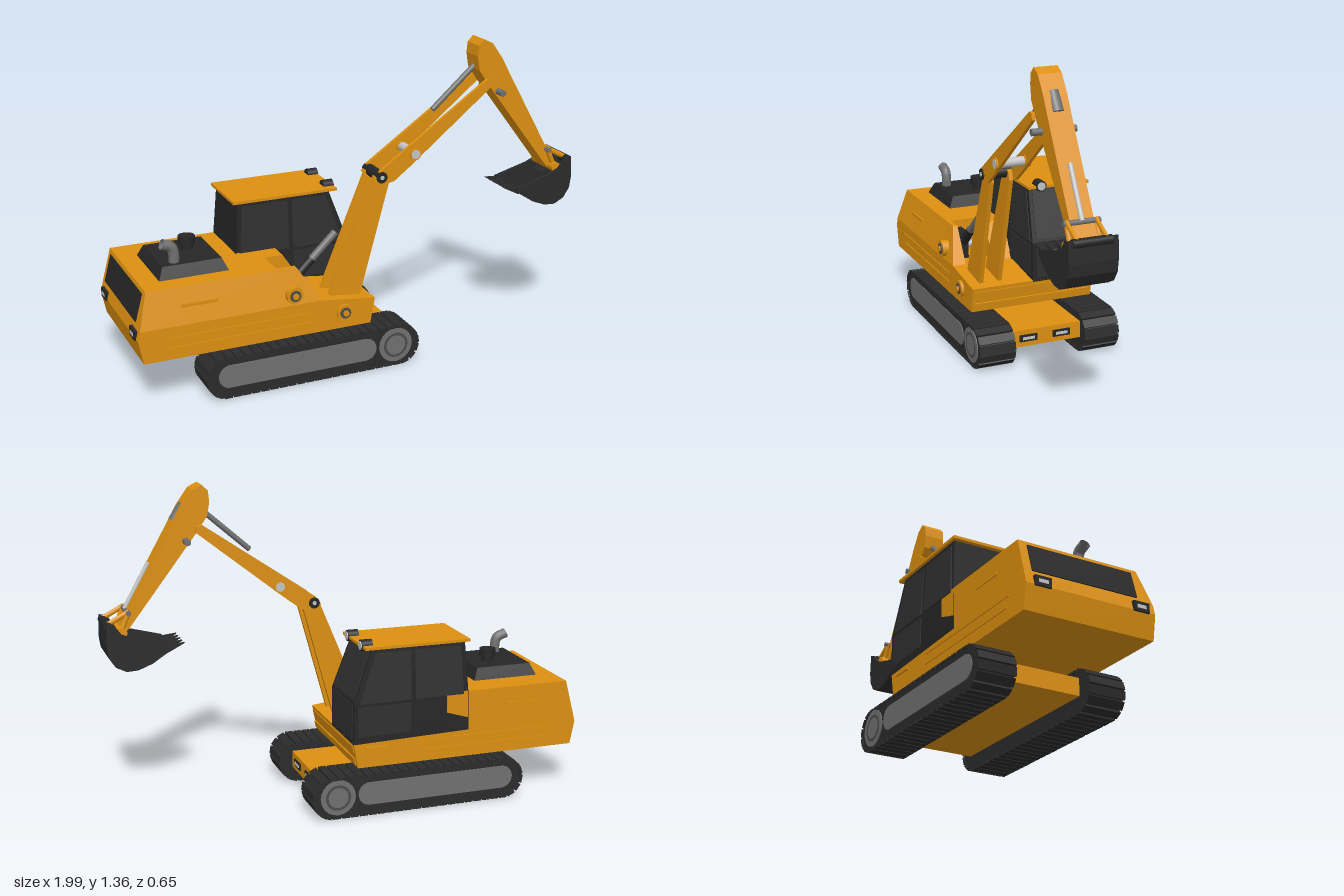
import * as THREE from 'three';

export function createModel() {
  const root = new THREE.Group();
  const mat = (name, color) => {
    const m = new THREE.MeshStandardMaterial({ color });
    m.name = name;
    return m;
  };
  const orange = mat('orange paint', 0xdd9010);
  const black = mat('black rubber', 0x2b2b2b);
  const dark = mat('dark frame', 0x262626);
  const glass = mat('dark glass', 0x303030);
  const grey = mat('grey steel', 0x707070);
  const midGrey = mat('hub grey', 0x4c4c4c);
  const light = mat('bright steel', 0xc4c4c4);

  const add = (name, geo, m, parent = root) => {
    const mesh = new THREE.Mesh(geo, m);
    mesh.name = name;
    parent.add(mesh);
    return mesh;
  };
  const toShape = pts => new THREE.Shape(pts.map(p => new THREE.Vector2(p[0], p[1])));
  // Side profile extruded between two z planes
  const slab = (name, m, shape, z0, z1, parent) => {
    const s = Array.isArray(shape) ? toShape(shape) : shape;
    const g = new THREE.ExtrudeGeometry(s, { depth: z1 - z0, bevelEnabled: false, curveSegments: 14 });
    return add(name, g.translate(0, 0, z0), m, parent);
  };
  const box = (name, m, x, y, z, w, h, d, rot = 0, parent = root) => {
    const b = add(name, new THREE.BoxGeometry(w, h, d), m, parent);
    b.position.set(x, y, z);
    b.rotation.z = rot;
    return b;
  };
  // Round bar between two points
  const rod = (name, m, a, b, r, parent = root) => {
    const p = new THREE.Vector3(...a), q = new THREE.Vector3(...b);
    const c = add(name, new THREE.CylinderGeometry(r, r, p.distanceTo(q), 20), m, parent);
    c.position.copy(p).add(q).multiplyScalar(0.5);
    c.quaternion.setFromUnitVectors(new THREE.Vector3(0, 1, 0), q.sub(p).normalize());
    return c;
  };
  const pin = (name, m, x, y, z0, z1, r, parent) => rod(name, m, [x, y, z0], [x, y, z1], r, parent);
  const reshape = (mesh, rule) => {
    const p = mesh.geometry.attributes.position, v = new THREE.Vector3();
    for (let i = 0; i < p.count; i++) {
      rule(v.fromBufferAttribute(p, i));
      p.setXYZ(i, v.x, v.y, v.z);
    }
    mesh.geometry.computeVertexNormals();
    return mesh;
  };
  const stadium = (x0, x1, y, r) => new THREE.Shape()
    .absarc(x1, y, r, -Math.PI / 2, Math.PI / 2)
    .absarc(x0, y, r, Math.PI / 2, Math.PI * 1.5);

  // Crawler tracks
  const X0 = -0.635, X1 = 0.14, R = 0.085, L = X1 - X0, arc = Math.PI * R, total = 2 * (L + arc);
  for (const s of [1, -1]) {
    const track = new THREE.Group();
    track.name = s > 0 ? 'leftTrack' : 'rightTrack';
    root.add(track);
    slab('trackBelt', black, stadium(X0, X1, 0.091, 0.082), s > 0 ? 0.165 : -0.32, s > 0 ? 0.32 : -0.165, track);
    for (let i = 0; i < 52; i++) {
      let d = (i / 52) * total, x, y, a;
      if (d < L) { x = X0 + d; y = -R; a = 0; }
      else if ((d -= L) < arc) { a = d / R; x = X1 + R * Math.sin(a); y = -R * Math.cos(a); }
      else if ((d -= arc) < L) { x = X1 - d; y = R; a = Math.PI; }
      else { a = Math.PI + (d - L) / R; x = X0 + R * Math.sin(a); y = -R * Math.cos(a); }
      box('trackPad', black, x, 0.091 + y, s * 0.2425, 0.034, 0.011, 0.163, a, track);
    }
    const face = (name, m, shape, z) => slab(name, m, shape, s > 0 ? 0.318 : -z, s > 0 ? z : -0.318, track);
    face('trackFrame', grey, stadium(-0.625, -0.02, 0.097, 0.05), 0.323);
    pin('driveWheelRim', grey, 0.12, 0.095, s * 0.31, s * 0.324, 0.077, track);
    pin('driveWheelWeb', midGrey, 0.12, 0.095, s * 0.31, s * 0.325, 0.056, track);
    pin('driveWheelHub', grey, 0.12, 0.095, s * 0.31, s * 0.326, 0.044, track);
  }

  // Undercarriage and turntable
  box('undercarriage', orange, -0.24, 0.107, 0, 0.82, 0.074, 0.34);
  rod('turntable', black, [-0.26, 0.13, 0], [-0.26, 0.21, 0], 0.125);
  for (const z of [0.08, -0.075]) {
    box('frontLampHousing', dark, 0.172, 0.108, z, 0.008, 0.03, 0.08);
    box('frontLamp', light, 0.175, 0.108, z, 0.008, 0.012, 0.055);
  }

  // Body: lower tub, engine block and the walls beside the boom recess
  const leanIn = v => { if (v.y > 0.48 && v.z > 0.25) v.z = 0.24; };
  slab('lowerBody', orange, [[-0.97, 0.2], [0.02, 0.2], [0.04, 0.31], [-0.2, 0.34], [-0.98, 0.34], [-0.99, 0.3]], -0.285, 0.28);
  reshape(slab('engineBody', orange, [[-0.98, 0.34], [-0.38, 0.34], [-0.38, 0.49], [-0.94, 0.49]], -0.285, 0.28), leanIn);
  const wall = [[-0.39, 0.338], [-0.2, 0.338], [-0.3, 0.49], [-0.39, 0.49]];
  slab('innerWall', orange, wall, 0, 0.09);
  reshape(slab('outerWall', orange, wall, 0.22, 0.28), leanIn);
  box('recessLining', dark, -0.325, 0.4, 0.2, 0.09, 0.12, 0.05);
  pin('liftPin', light, -0.33, 0.39, 0.085, 0.18, 0.016);
  for (const [x, y] of [[-0.325, 0.385], [-0.1, 0.27]]) {
    pin('sideBoss', orange, x, y, 0.25, 0.292, 0.036);
    pin('sideBossCap', midGrey, x, y, 0.25, 0.296, 0.024);
    pin('sideBossBolt', orange, x, y, 0.25, 0.302, 0.013);
  }
  for (const z of [0.281, -0.286]) {
    box('sideRib', orange, -0.565, 0.293, z, 0.62, 0.006, 0.006);
    box('sideRib', orange, -0.555, 0.25, z, 0.61, 0.006, 0.006);
    box('sideHandle', orange, -0.725, 0.415, z > 0 ? 0.262 : z, 0.15, 0.014, 0.006);
  }
  for (const y of [0.225, 0.28]) box('frontRib', orange, 0.024 + (y - 0.2) * 0.14, y, 0, 0.006, 0.03, 0.54, -0.18);
  box('stepRail', orange, -0.06, 0.285, -0.288, 0.1, 0.008, 0.008);

  // Rear grille and tail lamps
  box('rearGrille', dark, -0.961, 0.415, -0.02, 0.006, 0.12, 0.46, -0.26);
  for (const z of [0.215, -0.215]) {
    box('tailLampHousing', dark, -0.99, 0.315, z, 0.014, 0.04, 0.07);
    box('tailLamp', light, -0.996, 0.315, z, 0.006, 0.014, 0.04);
  }

  // Engine hood, exhaust and air intake
  reshape(box('engineHood', dark, -0.71, 0.513, 0, 0.3, 0.054, 0.32), v => {
    if (v.y > 0) { v.x *= 0.84; v.z *= 0.84; }
  });
  const pipe = new THREE.CatmullRomCurve3([[-0.775, 0.53], [-0.775, 0.575], [-0.785, 0.605], [-0.825, 0.622]]
    .map(p => new THREE.Vector3(p[0], p[1], 0.095)));
  const exhaustMetal = grey.clone();
  exhaustMetal.name = 'exhaust steel';
  exhaustMetal.side = THREE.DoubleSide;
  add('exhaust', new THREE.TubeGeometry(pipe, 16, 0.022, 14), exhaustMetal);
  rod('intakeStem', dark, [-0.68, 0.53, -0.03], [-0.68, 0.57, -0.03], 0.027);
  rod('intakeCap', dark, [-0.68, 0.563, -0.03], [-0.68, 0.595, -0.03], 0.036);

  // Cab, with panes set just proud of the frame
  const cabTaper = v => {
    if (v.y > 0.48) v.z = -0.143 + (v.z + 0.143) * (1 - 0.1 * (v.y - 0.48) / 0.23);
  };
  const cabPart = (name, m, pts, half) => reshape(slab(name, m, pts, -0.143 - half, -0.143 + half), cabTaper);
  cabPart('cab', dark, [[-0.48, 0.318], [0.04, 0.305], [0.038, 0.48], [-0.045, 0.71], [-0.46, 0.71], [-0.476, 0.48]], 0.144);
  cabPart('rearSideWindow', glass, [[-0.455, 0.48], [-0.235, 0.48], [-0.235, 0.69], [-0.44, 0.69]], 0.147);
  cabPart('doorWindow', glass, [[-0.215, 0.48], [0.015, 0.48], [-0.06, 0.69], [-0.215, 0.69]], 0.147);
  cabPart('doorPanel', glass, [[-0.215, 0.34], [0.02, 0.335], [0.02, 0.465], [-0.215, 0.465]], 0.147);
  cabPart('windshield', glass, [[-0.2, 0.495], [0.037, 0.495], [-0.036, 0.695], [-0.2, 0.695]], 0.127);
  cabPart('lowerWindshield', glass, [[-0.2, 0.325], [0.044, 0.325], [0.042, 0.475], [-0.2, 0.475]], 0.127);
  box('cabRoof', orange, -0.245, 0.713, -0.143, 0.47, 0.012, 0.285);
  for (const z of [-0.06, -0.23]) {
    rod('workLampHousing', dark, [-0.055, 0.717, z], [-0.008, 0.717, z], 0.024);
    rod('workLampLens', light, [-0.01, 0.717, z], [-0.004, 0.717, z], 0.018);
  }

  // Boom: paired plates, joint pins and rams
  const Z = 0.18;
  for (const s of [1, -1]) {
    const plate = (name, pts, inner, outer) =>
      slab(name, orange, pts, Z + (s > 0 ? inner : -outer), Z + (s > 0 ? outer : -inner));
    plate('lowerBoomPlate', [[-0.15, 0.335], [-0.01, 0.305], [0.125, 0.8], [0.115, 0.835], [0.085, 0.85], [0.055, 0.83]], 0.034, 0.052);
    plate('upperBoomPlate', [[0.05, 0.82], [0.085, 0.795], [0.14, 0.805], [0.22, 0.865], [0.595, 1.165], [0.59, 1.19], [0.57, 1.195], [0.075, 0.855]], 0.054, 0.069);
    pin('boomPivotBoss', orange, 0.235, 0.91, Z + s * 0.05, Z + s * 0.075, 0.026);
  }
  pin('boomJointPin', dark, 0.082, 0.828, Z - 0.074, Z + 0.074, 0.024);
  pin('boomJointCap', light, 0.082, 0.828, Z - 0.077, Z + 0.077, 0.009);
  pin('boomCrossTube', light, 0.235, 0.91, Z - 0.077, Z + 0.077, 0.02);
  rod('liftRamBarrel', dark, [-0.34, 0.37, Z + 0.01], [-0.21, 0.495, Z + 0.01], 0.019);
  rod('liftRamRod', grey, [-0.23, 0.475, Z + 0.01], [-0.1, 0.595, Z + 0.005], 0.016);
  rod('armRam', grey, [0.35, 1.07, Z - 0.005], [0.56, 1.255, Z - 0.005], 0.012);

  // Stick with its bucket ram
  slab('stick', orange, [[0.53, 1.29], [0.535, 1.335], [0.56, 1.36], [0.6, 1.34], [0.65, 1.27], [0.68, 1.215],
    [0.905, 0.82], [0.93, 0.775], [0.91, 0.75], [0.88, 0.78], [0.585, 1.165], [0.54, 1.23]], 0.13, 0.228);
  pin('stickPin', grey, 0.635, 1.13, 0.085, 0.27, 0.014);
  rod('bucketRamBarrel', grey, [0.625, 1.275, Z], [0.672, 1.205, Z], 0.026);
  rod('bucketRamRod', light, [0.785, 1.04, Z], [0.892, 0.85, Z], 0.01);

  // Bucket linkage
  for (const z of [0.12, 0.24]) {
    const link = rod('bucketLink', orange, [0.885, 0.85, z], [0.98, 0.8, z], 0.011);
    link.scale.z = 0.7;
    rod('bucketLever', orange, [0.885, 0.85, z], [0.92, 0.77, z], 0.011);
  }
  pin('leverPin', grey, 0.888, 0.845, 0.105, 0.255, 0.011);
  pin('bucketPin', orange, 0.92, 0.766, 0.095, 0.265, 0.022);
  pin('linkPin', dark, 0.975, 0.795, 0.1, 0.26, 0.018);

  // Bucket: curved shell, side plates and teeth
  const outer = [[0.72, 0.682], [0.8, 0.63], [0.86, 0.607], [0.91, 0.604], [0.955, 0.627], [0.983, 0.67], [0.99, 0.72], [0.985, 0.812]];
  const inner = outer.map(([x, y]) => [x + (0.86 - x) * 0.08, y + (0.77 - y) * 0.1]).reverse();
  slab('bucketShell', black, [...outer, ...inner], 0.08, 0.277);
  const sidePlate = [...outer, [0.95, 0.8], [0.925, 0.765], [0.88, 0.745], [0.72, 0.702]];
  for (const z of [0.078, 0.267]) slab('bucketSide', black, sidePlate, z, z + 0.012);
  slab('bucketBack', black, [[0.88, 0.735], [0.985, 0.72], [0.985, 0.812], [0.95, 0.8], [0.925, 0.765]], 0.14, 0.22);
  for (let i = 0; i < 5; i++) {
    const z = 0.087 + i * 0.0405;
    slab('bucketTooth', black, [[0.66, 0.706], [0.73, 0.67], [0.76, 0.675], [0.735, 0.698]], z, z + 0.018);
  }
  return root;
}
